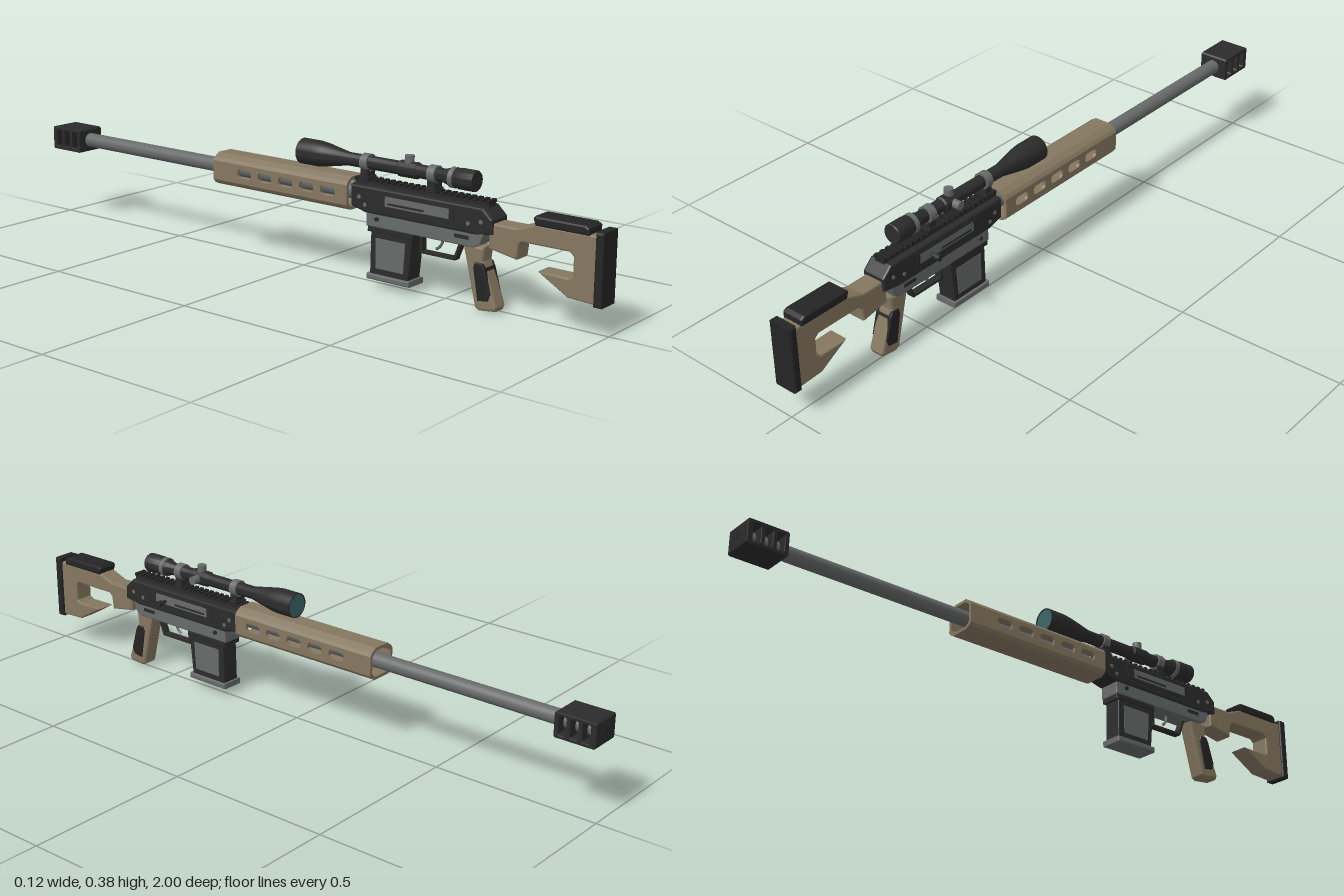
import * as THREE from 'three';
import { toCreasedNormals } from 'three/addons/utils/BufferGeometryUtils.js';

const mat = (name, color) => {
  const m = new THREE.MeshStandardMaterial({ color });
  m.name = name;
  return m;
};

export function createModel() {
  const root = new THREE.Group();
  root.name = 'rifle';
  root.position.x = -0.0125;

  const black = mat('black metal', 0x2b2b2b);
  const rubber = mat('dark rubber', 0x242424);
  const grey = mat('steel grey', 0x666a69);
  const tan = mat('tan polymer', 0x857760);
  const lensMat = mat('teal glass', 0x3a6568);

  const add = (name, geo, material, x = 0, y = 0, z = 0, parent = root) => {
    const m = new THREE.Mesh(geo, material);
    m.name = name;
    m.position.set(x, y, z);
    parent.add(m);
    return m;
  };
  const box = (name, material, w, h, d, x, y, z) =>
    add(name, new THREE.BoxGeometry(w, h, d), material, x, y, z);
  const path = (pts, T = THREE.Shape) => new T(pts.map(p => new THREE.Vector2(p[0], p[1])));

  // Side profile in (z, y), extruded across x and centred
  const slab = (pts, width, bevel = 0, holes = []) => {
    const s = path(pts);
    s.holes.push(...holes);
    const depth = width - 2 * bevel;
    const g = new THREE.ExtrudeGeometry(s, {
      depth, bevelEnabled: bevel > 0, bevelSize: bevel, bevelThickness: bevel,
      bevelOffset: -bevel, bevelSegments: 2, curveSegments: 6,
    });
    return g.translate(0, 0, -depth / 2).rotateY(-Math.PI / 2);
  };
  const rect = (z0, z1, y0, y1) => [[z0, y0], [z1, y0], [z1, y1], [z0, y1]];
  // Rectangle with cut corners, used for slots
  const slot = (z0, z1, y0, y1, c) => [
    [z0 + c, y0], [z1 - c, y0], [z1, y0 + c], [z1, y1 - c],
    [z1 - c, y1], [z0 + c, y1], [z0, y1 - c], [z0, y0 + c]];
  // Turned part along z from (radius, z) points
  const turned = pts => toCreasedNormals(
    new THREE.LatheGeometry(pts.map(p => new THREE.Vector2(p[0], p[1])), 32).rotateX(Math.PI / 2), 0.5);
  const rod = (r, len, axis, seg = 24) => {
    const g = new THREE.CylinderGeometry(r, r, len, seg);
    if (axis === 'x') g.rotateZ(Math.PI / 2);
    if (axis === 'z') g.rotateX(Math.PI / 2);
    return g;
  };

  // Stock, butt pad and cheek rest
  add('stock', slab([
    [0.98, 0.27], [0.80, 0.27], [0.745, 0.25], [0.66, 0.25], [0.66, 0.18], [0.745, 0.165],
    [0.75, 0.205], [0.76, 0.215], [0.9, 0.215], [0.912, 0.205], [0.912, 0.155], [0.9, 0.147],
    [0.81, 0.147], [0.9, 0.094], [0.98, 0.09]], 0.06, 0.005), tan);
  add('buttPad', slab(rect(0.976, 1, 0.086, 0.282), 0.075, 0.006), rubber);
  add('cheekRest', slab([[0.957, 0.266], [0.957, 0.286], [0.945, 0.293], [0.80, 0.293],
    [0.793, 0.286], [0.80, 0.266]], 0.068, 0.006), rubber);

  // Pistol grip with side panels
  add('grip', slab([[0.645, 0.18], [0.64, 0.14], [0.685, 0.02], [0.68, 0.008], [0.63, 0.002],
    [0.617, 0.01], [0.59, 0.12], [0.575, 0.18]], 0.049, 0.008), tan);
  add('gripPanels', slab([[0.66, 0.035], [0.628, 0.03], [0.612, 0.12], [0.617, 0.135], [0.64, 0.135],
    [0.648, 0.12], [0.667, 0.055]], 0.056, 0.003), rubber);

  // Receiver
  add('upperReceiver', slab([[0.675, 0.22], [0.675, 0.26], [0.645, 0.288], [0.21, 0.288],
    [0.21, 0.225], [0.26, 0.212], [0.62, 0.212]], 0.075, 0.006), black);
  add('lowerReceiver', slab([[0.648, 0.218], [0.635, 0.185], [0.615, 0.175], [0.262, 0.175],
    [0.262, 0.218]], 0.068, 0.004), grey);
  for (const s of [-1, 1]) {
    box('sidePlate', black, 0.004, 0.042, 0.25, s * 0.0375, 0.255, 0.43);
    box('boltCover', grey, 0.004, 0.028, 0.21, s * 0.0385, 0.256, 0.435);
    box('boltGroove', black, 0.003, 0.006, 0.12, s * 0.0400, 0.25, 0.40);
    box('lowerSlot', black, 0.004, 0.01, 0.045, s * 0.034, 0.2, 0.578);
    for (const [z, y] of [[0.64, 0.25], [0.24, 0.255], [0.6, 0.24], [0.26, 0.235]])
      add('receiverPin', rod(0.006, 0.006, 'x', 12), grey, s * 0.0365, y, z);
    add('lowerPin', rod(0.006, 0.008, 'x', 12), black, s * 0.036, 0.2, 0.3);
  }

  // Top rail with teeth
  box('railBase', black, 0.034, 0.012, 0.44, 0, 0.291, 0.43);
  for (let i = 0; i < 22; i++) box('railTooth', rubber, 0.038, 0.009, 0.011, 0, 0.3, 0.215 + i * 0.0205);

  // Bolt handle on the left side
  add('boltHandle', rod(0.0055, 0.03, 'x', 12), black, 0.05, 0.252, 0.5);
  add('boltKnob', rod(0.009, 0.015, 'x', 16), black, 0.066, 0.252, 0.5);

  // Trigger and guard
  add('triggerGuard', slab([[0.565, 0.178], [0.543, 0.122], [0.428, 0.122], [0.428, 0.178],
    [0.435, 0.178], [0.435, 0.129], [0.538, 0.129], [0.557, 0.178]], 0.022), black);
  const triggerCurve = new THREE.QuadraticBezierCurve3(
    new THREE.Vector3(0, 0.18, 0.495), new THREE.Vector3(0, 0.152, 0.5), new THREE.Vector3(0, 0.14, 0.475));
  add('trigger', new THREE.TubeGeometry(triggerCurve, 8, 0.004, 8), grey);

  // Magazine
  add('magazineCollar', slab(rect(0.265, 0.418, 0.16, 0.182), 0.064, 0.003), black);
  add('magazine', slab([[0.415, 0.17], [0.402, 0.038], [0.272, 0.038], [0.275, 0.17]], 0.058, 0.004), black);
  add('magazinePanels', slab([[0.393, 0.145], [0.387, 0.058], [0.293, 0.058], [0.293, 0.145]], 0.061), grey);
  add('magazineBase', slab(rect(0.265, 0.41, 0.024, 0.041), 0.071, 0.004), grey);

  // Hollow handguard: upper and lower shells joined by slotted side walls
  const shell = pts => {
    const mirrored = [...pts, ...pts.slice().reverse().map(([x, y]) => [-x, y])];
    const inner = pts.map(([x, y], i) => [x * 0.82, i === 0 ? y : 0.257 + (y - 0.257) * 0.82]);
    const hollow = [...inner.map(([x, y]) => [-x, y]), ...inner.slice().reverse()];
    return new THREE.ExtrudeGeometry(path([...mirrored, ...hollow]), { depth: 0.5, bevelEnabled: false });
  };
  add('handguardTop', shell([[0.0495, 0.272], [0.0495, 0.283], [0.043, 0.293], [0.026, 0.304]]), tan, 0, 0, -0.295);
  add('handguardBottom', shell([[0.0495, 0.241], [0.0495, 0.226], [0.043, 0.217], [0.03, 0.21]]), tan, 0, 0, -0.295);
  const slots = [0.137, 0.06, -0.018, -0.096, -0.174].map(z =>
    path(slot(z - 0.026, z + 0.026, 0.243, 0.27, 0.007), THREE.Path));
  for (const s of [-1, 1])
    add('handguardSide', slab(rect(-0.295, 0.205, 0.241, 0.272), 0.009, 0, slots), tan, s * 0.045, 0, 0);

  // Barrel and muzzle brake with slots right through
  add('barrel', rod(0.022, 1.185, 'z', 32), grey, 0, 0.257, -0.3925);
  const ports = [-0.902, -0.937, -0.972].map(z =>
    path(slot(z - 0.0115, z + 0.0115, 0.231, 0.283, 0.003), THREE.Path));
  add('muzzleBrake', slab([[-0.878, 0.225], [-0.878, 0.289], [-0.882, 0.293], [-0.996, 0.293], [-1, 0.289],
    [-1, 0.225], [-0.996, 0.221], [-0.882, 0.221]], 0.094, 0.002, ports), black);
  add('bore', rod(0.009, 0.004, 'z'), rubber, 0, 0.257, -0.9985);

  // Scope
  const scope = new THREE.Group();
  scope.name = 'scope';
  scope.position.y = 0.346;
  root.add(scope);
  add('scopeTube', turned([[0, 0.018], [0.034, 0.018], [0.034, 0.01], [0.037, 0.01], [0.037, 0.07],
    [0.034, 0.095], [0.019, 0.175], [0.019, 0.35], [0.023, 0.355], [0.023, 0.41], [0.019, 0.415],
    [0.019, 0.5], [0.027, 0.525], [0.027, 0.545], [0.029, 0.55], [0.029, 0.597], [0.027, 0.6], [0, 0.6]]),
    black, 0, 0, 0, scope);
  add('frontLens', rod(0.0338, 0.004, 'z', 32), lensMat, 0, 0, 0.014, scope);
  add('eyepieceRing', rod(0.0285, 0.014, 'z', 32), grey, 0, 0, 0.53, scope);
  add('topTurret', rod(0.0135, 0.024, 'y'), grey, 0, 0.028, 0.382, scope);
  add('sideTurret', rod(0.0125, 0.026, 'x'), grey, 0.031, 0, 0.382, scope);
  for (const z of [0.24, 0.465]) {
    add('scopeRing', rod(0.0245, 0.024, 'z', 32), grey, 0, 0, z, scope);
    add('ringFoot', new THREE.BoxGeometry(0.034, 0.03, 0.024), black, 0, -0.031, z, scope);
    add('ringClamp', new THREE.BoxGeometry(0.042, 0.01, 0.03), black, 0, -0.042, z, scope);
  }
  return root;
}
